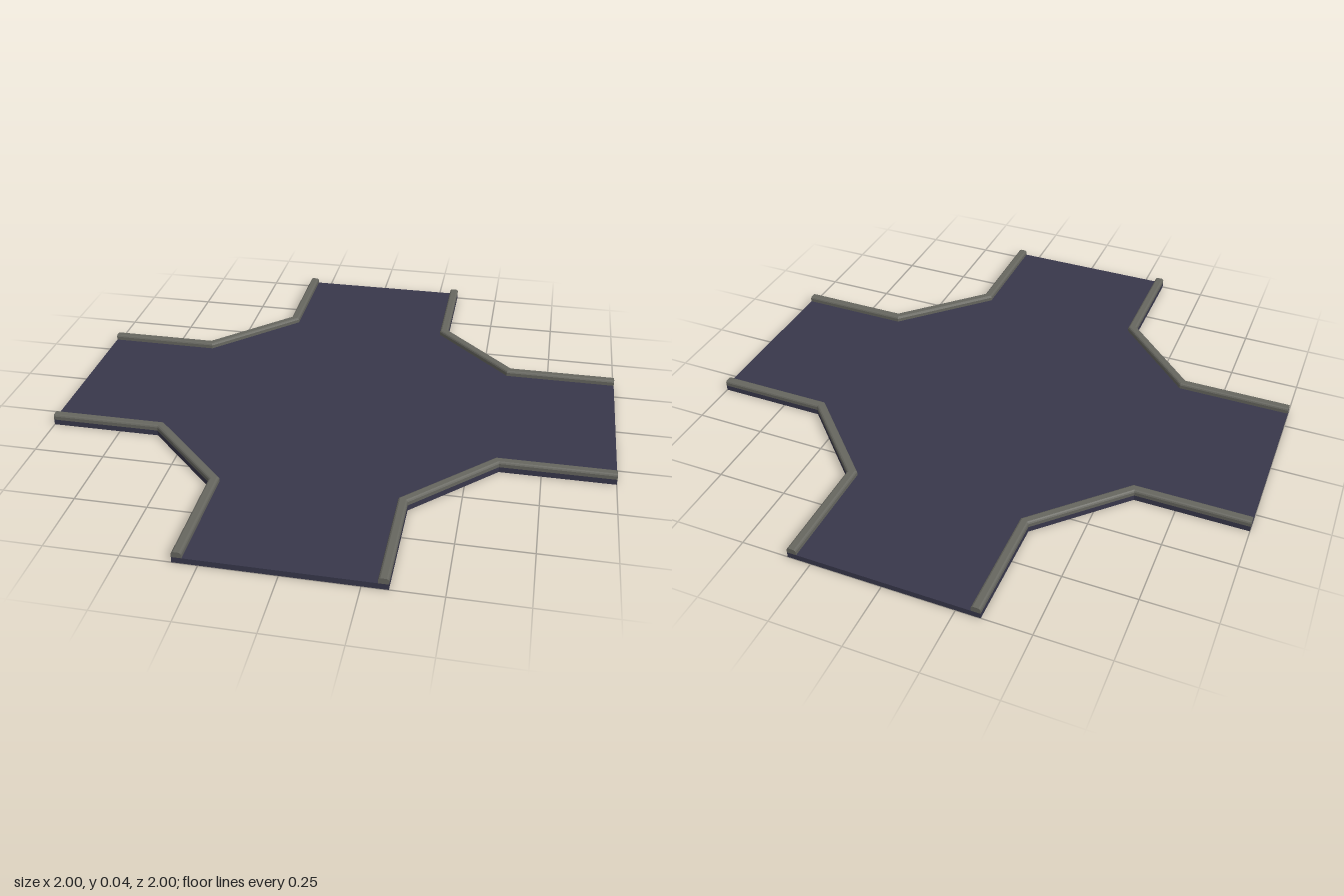
import * as THREE from 'three';

const HALF = 0.0165;            // half the kerb width
const MITRE = Math.tan(Math.PI / 8);
const FLOOR = 0.02, TOP = 0.04;

// Kerb path of one corner, shifted sideways by o (positive = away from the road)
const pathAt = (o) => [
  [0.3165 + o, 1],
  [0.3165 + o, 0.6 + MITRE * o],
  [0.6 + MITRE * o, 0.3165 + o],
  [1, 0.3165 + o],
];

// Chamfered kerb section swept along the mitred path, with closed ends
function kerbGeometry() {
  const c = 0.007;
  const profile = [
    [-HALF, FLOOR], [HALF, FLOOR], [HALF, TOP - c], [HALF - c * 0.35, TOP - c * 0.35], [HALF - c, TOP],
    [-HALF + c, TOP], [-HALF + c * 0.35, TOP - c * 0.35], [-HALF, TOP - c],
  ];
  const n = profile.length;
  const point = (i, j) => {
    const [o, y] = profile[j % n];
    const [x, z] = pathAt(o)[i];
    return [x, y, z];
  };
  const pos = [];
  const tri = (...corners) => corners.forEach((p) => pos.push(...p));
  for (let i = 0; i < 3; i++) {
    for (let j = 0; j < n; j++) {
      const a = point(i, j), b = point(i, j + 1), d = point(i + 1, j), e = point(i + 1, j + 1);
      tri(a, d, b);
      tri(b, d, e);
    }
  }
  for (let j = 1; j < n - 1; j++) {
    tri(point(0, 0), point(0, j), point(0, j + 1));
    tri(point(3, 0), point(3, j + 1), point(3, j));
  }
  const geometry = new THREE.BufferGeometry();
  geometry.setAttribute('position', new THREE.Float32BufferAttribute(pos, 3));
  geometry.computeVertexNormals();
  return geometry;
}

// Cross-shaped slab reaching the outer side of the kerbs
function floorGeometry() {
  const outline = [];
  for (let k = 0; k < 4; k++) {
    const turn = (k * Math.PI) / 2;
    for (const [x, y] of pathAt(HALF).reverse()) {
      outline.push(new THREE.Vector2(x, y).rotateAround(new THREE.Vector2(), turn));
    }
  }
  const geometry = new THREE.ExtrudeGeometry(new THREE.Shape(outline), { depth: FLOOR, bevelEnabled: false });
  return geometry.rotateX(-Math.PI / 2);
}

export function createModel() {
  const model = new THREE.Group();
  model.name = 'crossroads';

  const floor = new THREE.Mesh(floorGeometry(), new THREE.MeshStandardMaterial({ color: 0x38374b }));
  floor.name = 'roadSurface';
  model.add(floor);

  // One kerb around each inner corner
  const kerbShape = kerbGeometry();
  const kerbMaterial = new THREE.MeshStandardMaterial({ color: 0x66665f, flatShading: true });
  ['frontLeft', 'backLeft', 'backRight', 'frontRight'].forEach((corner, k) => {
    const kerb = new THREE.Mesh(kerbShape, kerbMaterial);
    kerb.name = `${corner}Kerb`;
    kerb.rotation.y = (k * Math.PI) / 2;
    model.add(kerb);
  });
  return model;
}
